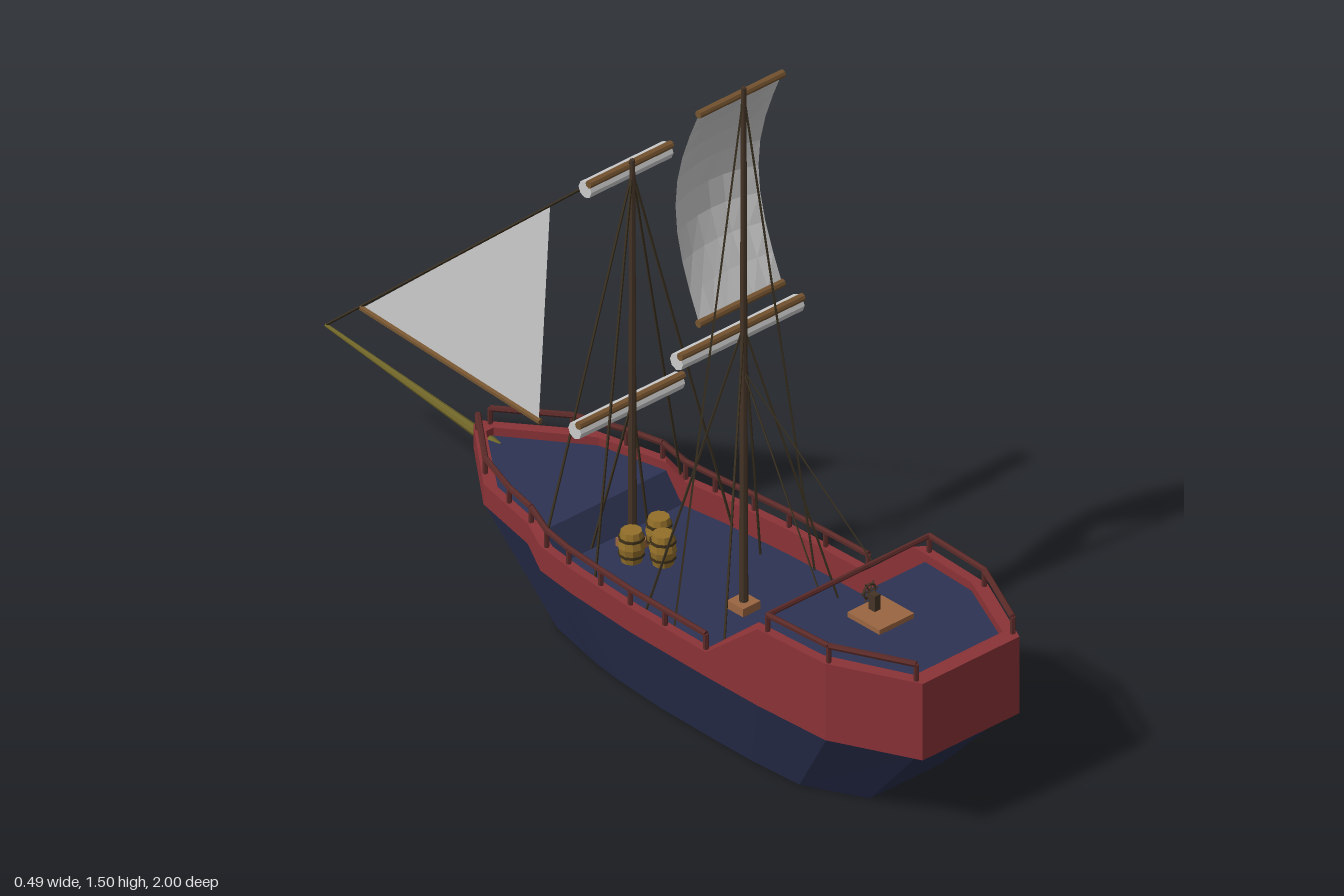
import * as THREE from 'three';

const mat = (color, double = false) => new THREE.MeshStandardMaterial({
  color, flatShading: true, side: double ? THREE.DoubleSide : THREE.FrontSide });
const NAVY = mat(0x282e4c, true), RED = mat(0x8a3236, true), DECK = mat(0x2c3352, true);
const MAST = mat(0x453426), YARD = mat(0x755430), RAIL = mat(0x5a2a28), ROPE = mat(0x3a3020);
const CLOTH = mat(0xcccccc, true), BARREL = mat(0x93702a), HOOP = mat(0x3d3018), WOOD = mat(0x9a6540);
const SPRIT = mat(0x6e6428), RING = mat(0xb03a34);

// Hull stations, stern to bow: z, half width, foot and top of the red bulwark
const STATIONS = [
  [1, 0.14, 0.2, 0.39], [0.8, 0.235, 0.2, 0.39], [0.6, 0.245, 0.2, 0.39], [0.44, 0.245, 0.2, 0.26],
  [0.2, 0.24, 0.2, 0.26], [0, 0.225, 0.2, 0.26], [-0.11, 0.21, 0.2, 0.26], [-0.16, 0.2, 0.24, 0.29],
  [-0.34, 0.16, 0.24, 0.29], [-0.53, 0.012, 0.235, 0.29]];

const halfWidth = (z) => {
  for (let i = 1; i < STATIONS.length; i++) {
    const [z0, w0] = STATIONS[i - 1], [z1, w1] = STATIONS[i];
    if (z >= z1) return THREE.MathUtils.lerp(w0, w1, THREE.MathUtils.clamp((z0 - z) / (z0 - z1), 0, 1));
  }
  return 0.012;
};

// Closed ring around the hull from a rule giving one point per station
const ring = (rule) => {
  const side = STATIONS.map(rule);
  return [...side, ...side.map(([x, y, z]) => [-x, y, z]).reverse()];
};

// Faces between successive cross-sections
function skin(rows, closed) {
  const pos = [];
  for (let r = 0; r + 1 < rows.length; r++) {
    const a = rows[r], b = rows[r + 1], n = a.length;
    for (let i = 0; i < (closed ? n : n - 1); i++) {
      const j = (i + 1) % n;
      pos.push(...a[i], ...a[j], ...b[j], ...a[i], ...b[j], ...b[i]);
    }
  }
  const g = new THREE.BufferGeometry();
  g.setAttribute('position', new THREE.Float32BufferAttribute(pos, 3));
  g.computeVertexNormals();
  return g;
}

export function createModel() {
  const ship = new THREE.Group();
  ship.name = 'sailingShip';
  const add = (name, geo, material, x = 0, y = 0, z = 0, parent = ship) => {
    const m = new THREE.Mesh(geo, material);
    m.name = name;
    m.position.set(x, y, z);
    parent.add(m);
    return m;
  };
  // Round bar between two points
  const rod = (name, a, b, r, material, sides = 6, r2 = r) => {
    const p = new THREE.Vector3(...a), q = new THREE.Vector3(...b), d = q.clone().sub(p);
    const m = add(name, new THREE.CylinderGeometry(r2, r, d.length(), sides), material);
    m.position.copy(p).add(q).multiplyScalar(0.5);
    m.quaternion.setFromUnitVectors(new THREE.Vector3(0, 1, 0), d.normalize());
    return m;
  };

  // Lower hull with flat bottom
  const keel = ring(([z, w]) => [w * 0.75, 0, -0.29 + (z + 0.53) * 0.712]);
  const waterline = ring(([z, w, foot]) => [w * 0.985, foot, z === 1 ? 0.98 : z]);
  add('lowerHull', skin([keel, waterline], true), NAVY);
  const half = STATIONS.length;
  add('hullBottom', skin([keel.slice(0, half), keel.slice(half).reverse()], false), NAVY);

  // Bulwark: outside, rim and inside
  const inZ = (z) => 0.23 + (z - 0.23) * 0.95;
  add('bulwark', skin([
    waterline,
    ring(([z, w, foot]) => [w, foot, z]),
    ring(([z, w, , top]) => [w, top, z]),
    ring(([z, w, , top]) => [w * 0.91, top, inZ(z)]),
    ring(([z, w, foot]) => [w * 0.91, foot, inZ(z)])], true), RED);

  // Stepped deck: quarterdeck, bulkhead, waist, sloped step, foredeck
  const levels = [[0.965, 0.37], [0.8, 0.37], [0.62, 0.37], [0.62, 0.2], [0.44, 0.2], [0.2, 0.2],
    [0, 0.2], [-0.1, 0.2], [-0.14, 0.27], [-0.33, 0.27], [-0.5, 0.27]];
  add('deck', skin(levels.map(([z, y]) => {
    const w = halfWidth(z) * 0.95;
    return [[-w, y, z], [w, y, z]];
  }), false), DECK);

  // Cabin door and life rings on the bulkhead
  add('cabinDoor', new THREE.BoxGeometry(0.07, 0.13, 0.012), WOOD, 0, 0.265, 0.615);
  add('doorPanel', new THREE.BoxGeometry(0.05, 0.1, 0.012), BARREL, 0, 0.265, 0.61);
  for (const s of [-1, 1])
    add('lifeRing', new THREE.TorusGeometry(0.03, 0.008, 6, 14), RING, s * 0.145, 0.29, 0.605);

  // Railings with posts along both sides, and across the quarterdeck edge
  const railing = (pts, height) => pts.forEach((p, i) => {
    const top = [p[0], p[1] + height, p[2]];
    rod('railPost', p, top, 0.006, RAIL);
    if (i) rod('handRail', [pts[i - 1][0], pts[i - 1][1] + height, pts[i - 1][2]], top, 0.007, RAIL);
  });
  for (const s of [-1, 1]) {
    const at = (z, y) => [s * (halfWidth(z) - 0.01), y, z];
    railing([0.98, 0.8, 0.62].map((z) => at(z, 0.385)), 0.045);
    railing([[0.43, 0.255], [0.3, 0.255], [0.19, 0.255], [0.09, 0.255], [-0.02, 0.255], [-0.1, 0.26],
      [-0.16, 0.285], [-0.25, 0.285], [-0.37, 0.285], [-0.51, 0.285]].map(([z, y]) => at(z, y)), 0.042);
  }
  rod('quarterdeckRail', [-0.235, 0.43, 0.62], [0.235, 0.43, 0.62], 0.006, RAIL);

  // Masts with square feet, and the bowsprit
  for (const [z, h] of [[0.295, 1.495], [-0.05, 1.16]]) {
    rod('mast', [0, 0.2, z], [0, h, z], 0.01, MAST, 8, 0.006);
    add('mastFoot', new THREE.BoxGeometry(0.05, 0.02, 0.05), WOOD, 0, 0.21, z);
  }
  rod('bowsprit', [0, 0.258, -0.46], [0, 0.32, -1], 0.013, SPRIT, 8, 0.004);

  // Yards, with furled sails beneath where stowed
  const yard = (y, z, x, w, furled) => {
    rod('yard', [x - w, y, z], [x + w, y, z], 0.009, YARD, 8);
    if (!furled) return;
    const roll = add('furledSail', new THREE.CylinderGeometry(0.02, 0.02, w * 1.98, 8), CLOTH, x, y - 0.018, z - 0.012);
    roll.rotation.z = Math.PI / 2;
  };
  yard(1.47, 0.28, 0.005, 0.123, false);
  yard(0.95, 0.28, 0.005, 0.123, false);
  yard(0.89, 0.28, 0.007, 0.178, true);
  yard(1.14, -0.063, 0.005, 0.12, true);
  yard(0.553, -0.063, 0.007, 0.152, true);

  // Billowing topsail
  const rows = [];
  for (let i = 0; i <= 8; i++) {
    const t = i / 8, row = [];
    for (let j = 0; j <= 6; j++) {
      const u = j / 3 - 1, belly = Math.sin(Math.PI * t);
      row.push([0.005 + u * 0.12, 0.95 + 0.52 * t, 0.28 - belly * (0.073 + 0.027 * (1 - u * u))]);
    }
    rows.push(row);
  }
  add('topsail', skin(rows, false), CLOTH);

  // Jib, its boom and stay
  add('jib', skin([[[0, 0.93, -0.305], [0, 0.93, -0.305]], [[0, 0.38, -0.34], [0, 0.415, -0.885]]], false), CLOTH);
  rod('jibBoom', [0, 0.38, -0.335], [0, 0.413, -0.89], 0.007, YARD);
  rod('forestay', [0, 1.155, -0.05], [0, 0.32, -1], 0.003, ROPE, 4);

  // Shrouds and backstays
  for (const s of [-1, 1]) {
    const ropes = [
      [1.48, 0.295, 0.205, 0.295], [0.9, 0.295, 0.165, 0.41], [0.9, 0.295, 0.165, 0.17],
      [1.13, -0.05, 0.2, 0.045], [1.13, -0.05, 0.195, -0.11], [0.56, -0.05, 0.08, -0.09]];
    for (const [y, z, x, foot] of ropes)
      rod('shroud', [0, y, z], [s * x, foot < -0.1 ? 0.27 : 0.21, foot], 0.003, ROPE, 4);
    rod('backstay', [0, 0.79, 0.295], [s * 0.08, 0.42, 0.615], 0.0018, ROPE, 4);
  }

  // Barrels in two clusters
  const profile = [[0, 0], [0.023, 0], [0.03, 0.037], [0.023, 0.075], [0, 0.075]].map((p) => new THREE.Vector2(...p));
  for (const [x, z] of [[-0.04, -0.01], [0.04, -0.01], [0, 0.045], [-0.19, 0.47], [-0.19, 0.545], [-0.14, 0.51]]) {
    const barrel = new THREE.Group();
    barrel.name = 'barrel';
    barrel.position.set(x, 0.2, z);
    ship.add(barrel);
    add('staves', new THREE.LatheGeometry(profile, 10), BARREL, 0, 0, 0, barrel);
    for (const y of [0.018, 0.057])
      add('hoop', new THREE.CylinderGeometry(0.029, 0.029, 0.006, 10), HOOP, 0, y, 0, barrel);
  }

  // Helm: platform, stand and spoked wheel
  add('helmPlatform', new THREE.BoxGeometry(0.1, 0.012, 0.1), WOOD, 0, 0.376, 0.72);
  add('helmStand', new THREE.BoxGeometry(0.016, 0.04, 0.02), MAST, 0, 0.4, 0.7);
  add('helmWheel', new THREE.TorusGeometry(0.017, 0.003, 5, 12), MAST, 0, 0.42, 0.685);
  for (let i = 0; i < 3; i++) {
    const a = i * Math.PI / 3, x = Math.cos(a) * 0.025, y = Math.sin(a) * 0.025;
    rod('wheelSpoke', [-x, 0.42 - y, 0.685], [x, 0.42 + y, 0.685], 0.002, MAST, 5);
  }
  return ship;
}
